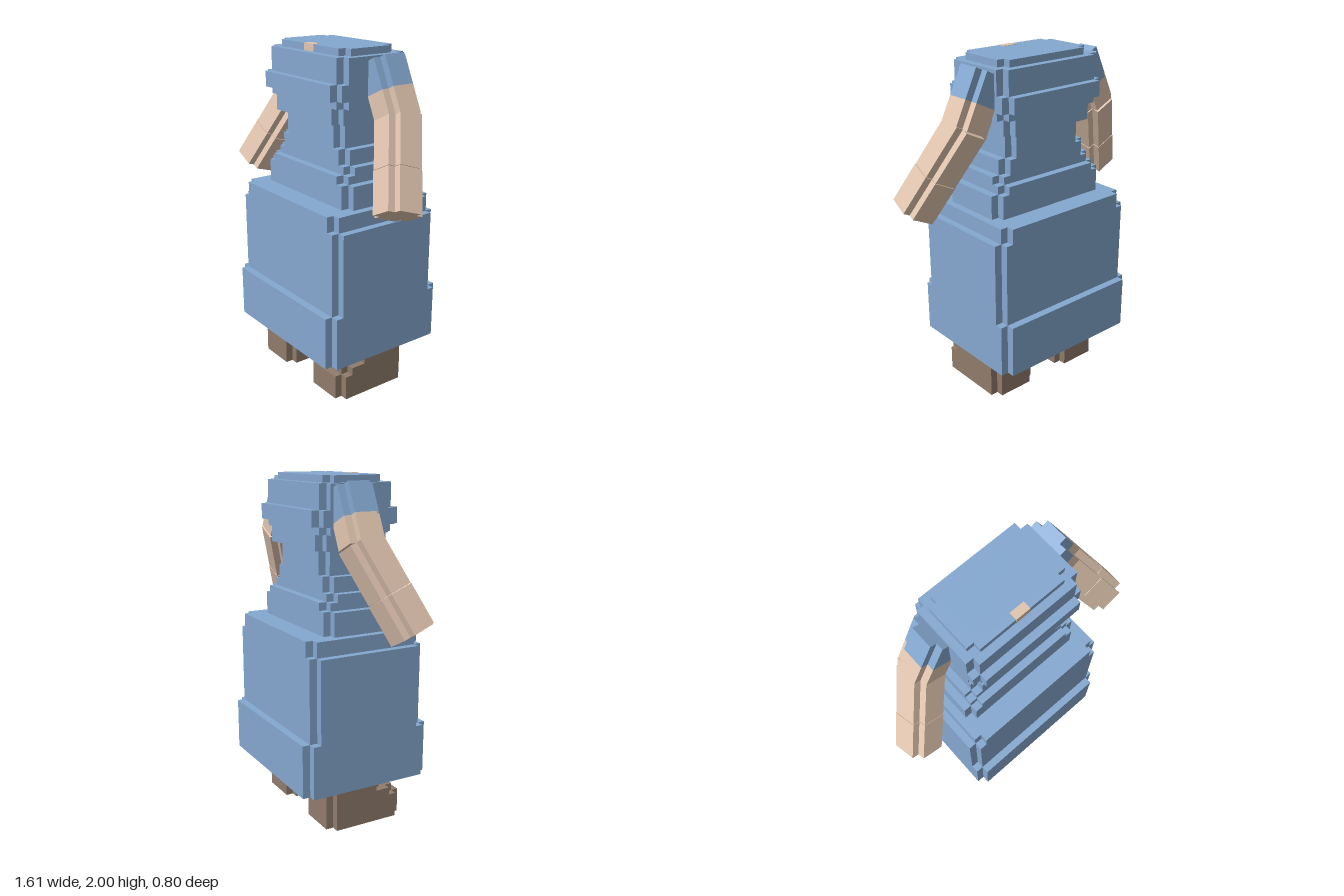
import * as THREE from 'three';

const blue = new THREE.MeshStandardMaterial({ name: 'blue cloth', color: 0x85a8d0 });
const skin = new THREE.MeshStandardMaterial({ name: 'skin', color: 0xe2c6b0 });
const brown = new THREE.MeshStandardMaterial({ name: 'brown shoe', color: 0x907c6c });
const N = 0.045; // size of the square corner notches

// Upright block from y0 to y1 whose four corners are notched
function notchedBlock(name, material, x0, x1, z0, z1, y0, y1, n = N) {
  const s = new THREE.Shape();
  [[x0 + n, -z1], [x1 - n, -z1], [x1 - n, -z1 + n], [x1, -z1 + n],
    [x1, -z0 - n], [x1 - n, -z0 - n], [x1 - n, -z0], [x0 + n, -z0],
    [x0 + n, -z0 - n], [x0, -z0 - n], [x0, -z1 + n], [x0 + n, -z1 + n]]
    .forEach(([x, y], i) => (i ? s.lineTo(x, y) : s.moveTo(x, y)));
  const geo = new THREE.ExtrudeGeometry(s, { depth: y1 - y0, bevelEnabled: false });
  geo.rotateX(-Math.PI / 2).translate(0, y0, 0);
  const mesh = new THREE.Mesh(geo, material);
  mesh.name = name;
  return mesh;
}

function box(name, material, x0, x1, y0, y1, z0, z1) {
  const mesh = new THREE.Mesh(new THREE.BoxGeometry(x1 - x0, y1 - y0, z1 - z0), material);
  mesh.position.set((x0 + x1) / 2, (y0 + y1) / 2, (z0 + z1) / 2);
  mesh.name = name;
  return mesh;
}

// Notched limb segment running from point a to point b
function segment(name, material, a, b, size = 0.215) {
  const h = size / 2;
  const mesh = notchedBlock(name, material, -h, h, -h, h, 0, a.distanceTo(b), 0.042);
  const y = a.clone().sub(b).normalize();
  const x = y.clone().cross(new THREE.Vector3(0, 0, 1)).normalize();
  const z = x.clone().cross(y);
  mesh.quaternion.setFromRotationMatrix(new THREE.Matrix4().makeBasis(x, y, z));
  mesh.position.copy(b);
  return mesh;
}

function createArm(side) {
  const arm = new THREE.Group();
  arm.name = side > 0 ? 'leftArm' : 'rightArm';
  const shoulder = new THREE.Vector3(side * 0.337, 1.93, -0.055);
  const elbow = new THREE.Vector3(side * 0.475, 1.64, -0.055);
  const wrist = new THREE.Vector3(side * 0.695, 1.19, 0.125);
  const cuff = shoulder.clone().lerp(elbow, 0.53);
  arm.add(
    segment('sleeve', blue, shoulder, cuff),
    segment('upperArm', skin, cuff, elbow),
    segment('forearm', skin, elbow.clone().lerp(wrist, -0.05), elbow.clone().lerp(wrist, 0.545)),
    segment('hand', skin, elbow.clone().lerp(wrist, 0.55), wrist, 0.218),
  );
  return arm;
}

function createLeg(side) {
  const leg = new THREE.Group();
  leg.name = side > 0 ? 'leftLeg' : 'rightLeg';
  const w = 0.155;
  leg.add(
    notchedBlock('shoeSole', brown, -w, w, -0.21, 0.28, 0, 0.145),
    notchedBlock('shoeMiddle', brown, -w, w, -0.21, 0.235, 0.145, 0.19),
    notchedBlock('shoeTop', brown, -w, w, -0.21, 0.145, 0.19, 0.235),
  );
  // Leg stub leaning slightly, rising into the skirt
  const stub = notchedBlock('ankle', brown, -0.15, 0.15, -0.155, 0.155, 0, 0.1);
  stub.position.set(0, 0.245, -0.055);
  stub.rotation.x = 0.08;
  leg.add(stub);
  leg.position.x = side * 0.258;
  return leg;
}

export function createModel() {
  const model = new THREE.Group();
  model.name = 'figure';

  // Dress layers from hem to neckline: name, y0, y1, half width, half depth
  const layers = [
    ['hem', 0.272, 0.58, 0.49, 0.402],
    ['skirt', 0.58, 1.06, 0.49, 0.357],
    ['skirtTop', 1.06, 1.148, 0.447, 0.357],
    ['hipLower', 1.148, 1.283, 0.402, 0.225],
    ['hipMiddle', 1.283, 1.328, 0.357, 0.225],
    ['hipUpper', 1.328, 1.372, 0.357, 0.18],
    ['waistLower', 1.372, 1.46, 0.313, 0.18],
    ['waist', 1.46, 1.6, 0.268, 0.18],
    ['ribs', 1.6, 1.69, 0.313, 0.225],
    ['chestLower', 1.69, 1.733, 0.357, 0.225],
    ['bust', 1.733, 1.822, 0.357, 0.269],
    ['chestUpper', 1.822, 1.96, 0.357, 0.225],
    ['neckline', 1.96, 1.999, 0.313, 0.18],
  ];
  const dress = new THREE.Group();
  dress.name = 'dress';
  for (const [name, y0, y1, w, d] of layers) {
    dress.add(notchedBlock(name, blue, -w - 0.004, w - 0.004, -d, d, y0, y1));
  }
  model.add(dress);

  // Bare skin at the front of the neckline: top and front plates
  model.add(box('throatTop', skin, -0.049, 0.041, 1.995, 2.001, 0.134, 0.182));
  model.add(box('throatFront', skin, -0.049, 0.041, 1.96, 2.001, 0.175, 0.182));

  for (const side of [-1, 1]) model.add(createArm(side), createLeg(side));
  return model;
}
